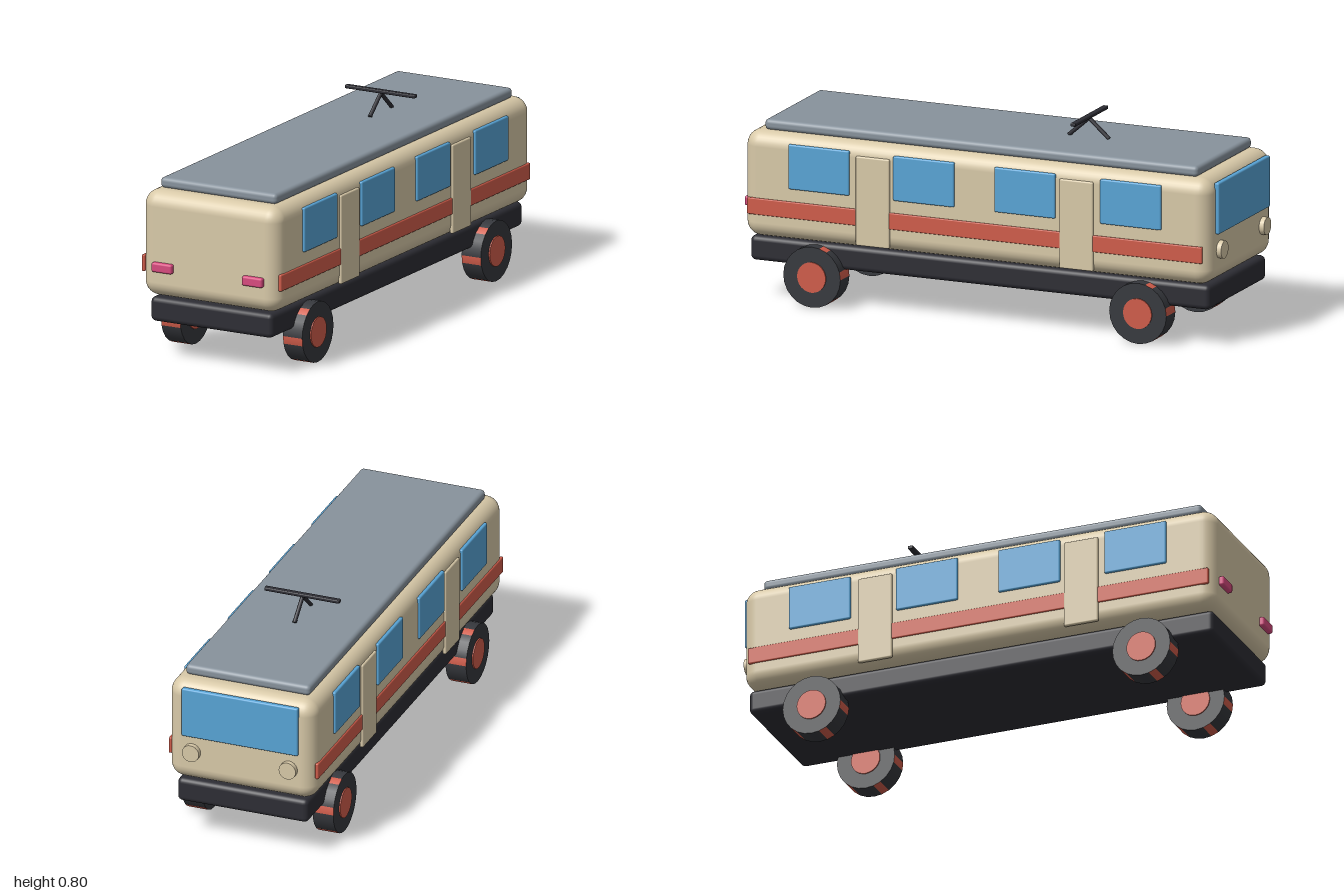
import * as THREE from 'three';
import { RoundedBoxGeometry } from 'three/addons/geometries/RoundedBoxGeometry.js';

const paint = (name, color) => {
  const m = new THREE.MeshStandardMaterial({ color });
  m.name = name;
  return m;
};

export function createModel() {
  const cream = paint('cream', 0xd8c9a8);
  const grey = paint('roofGrey', 0x87929c);
  const dark = paint('chassisDark', 0x2d2d34);
  const tyre = paint('tyreGrey', 0x36383d);
  const blue = paint('windowBlue', 0x58a4d6);
  const red = paint('stripeRed', 0xd05c4a);
  const pink = paint('lampPink', 0xd84a7f);

  const model = new THREE.Group();
  model.name = 'railBus';

  const add = (name, geometry, material, x = 0, y = 0, z = 0) => {
    const mesh = new THREE.Mesh(geometry, material);
    mesh.name = name;
    mesh.position.set(x, y, z);
    model.add(mesh);
    return mesh;
  };
  // Rounded box given by its extents on each axis
  const block = (name, material, [x0, x1], [y0, y1], [z0, z1], radius, segments = 2) =>
    add(name, new RoundedBoxGeometry(x1 - x0, y1 - y0, z1 - z0, segments, radius),
      material, (x0 + x1) / 2, (y0 + y1) / 2, (z0 + z1) / 2);

  // Main shell, roof slab and chassis
  block('body', cream, [-0.304, 0.304], [0.25, 0.67], [-0.98, 0.98], 0.06, 4);
  block('roof', grey, [-0.257, 0.257], [0.668, 0.71], [-0.91, 0.91], 0.016, 3);
  block('chassis', dark, [-0.27, 0.27], [0.15, 0.247], [-0.965, 0.965], 0.02, 3);

  // Side fittings, mirrored
  const outward = (s, inner, outer) => (s > 0 ? [inner, outer] : [-outer, -inner]);
  for (const s of [1, -1]) {
    block('sideStripe', red, outward(s, 0.295, 0.3095), [0.342, 0.408], [-0.952, 0.96], 0.005);
    for (const z of [0.658, 0.217, -0.208, -0.653])
      block('sideWindow', blue, outward(s, 0.297, 0.313), [0.458, 0.635], [z - 0.128, z + 0.128], 0.006);
    for (const z of [0.432, -0.424])
      block('door', cream, outward(s, 0.296, 0.312), [0.265, 0.618], [z - 0.071, z + 0.071], 0.006);
  }

  // Windscreen and headlights at one end, lamps at the other
  block('windscreen', blue, [-0.24, 0.24], [0.447, 0.65], [-0.994, -0.972], 0.006);
  for (const s of [1, -1]) {
    const lamp = new THREE.CylinderGeometry(0.035, 0.035, 0.03, 20).rotateX(Math.PI / 2);
    add('headlight', lamp, cream, s * 0.2, 0.38, -0.985);
    block('tailLamp', pink, outward(s, 0.155, 0.245), [0.356, 0.394], [0.975, 1], 0.008);
  }

  // Wheels: every fourth tread segment is red
  const sides = 24;
  const tyreGeometry = new THREE.CylinderGeometry(0.12, 0.12, 0.085, sides).rotateZ(Math.PI / 2);
  tyreGeometry.clearGroups();
  for (let i = 0; i < sides; i++) tyreGeometry.addGroup(i * 6, 6, i % 4 === 3 ? 1 : 0);
  tyreGeometry.addGroup(sides * 6, sides * 6, 0);
  const hubGeometry = new THREE.CylinderGeometry(0.06, 0.06, 0.095, sides).rotateZ(Math.PI / 2);
  for (const x of [0.27, -0.27])
    for (const z of [0.685, -0.685]) {
      add('tyre', tyreGeometry, [tyre, red], x, 0.12, z);
      add('hub', hubGeometry, red, x, 0.12, z);
    }

  // Current collector: two leaning arms and a crossbar
  for (const s of [1, -1]) {
    const arm = add('collectorArm', new THREE.CylinderGeometry(0.008, 0.008, 0.115, 10), dark,
      0, 0.75, -0.34 + s * 0.041);
    arm.rotation.x = -s * 0.85;
  }
  block('collectorBar', dark, [-0.155, 0.155], [0.786, 0.8], [-0.352, -0.33], 0.004);

  return model;
}
